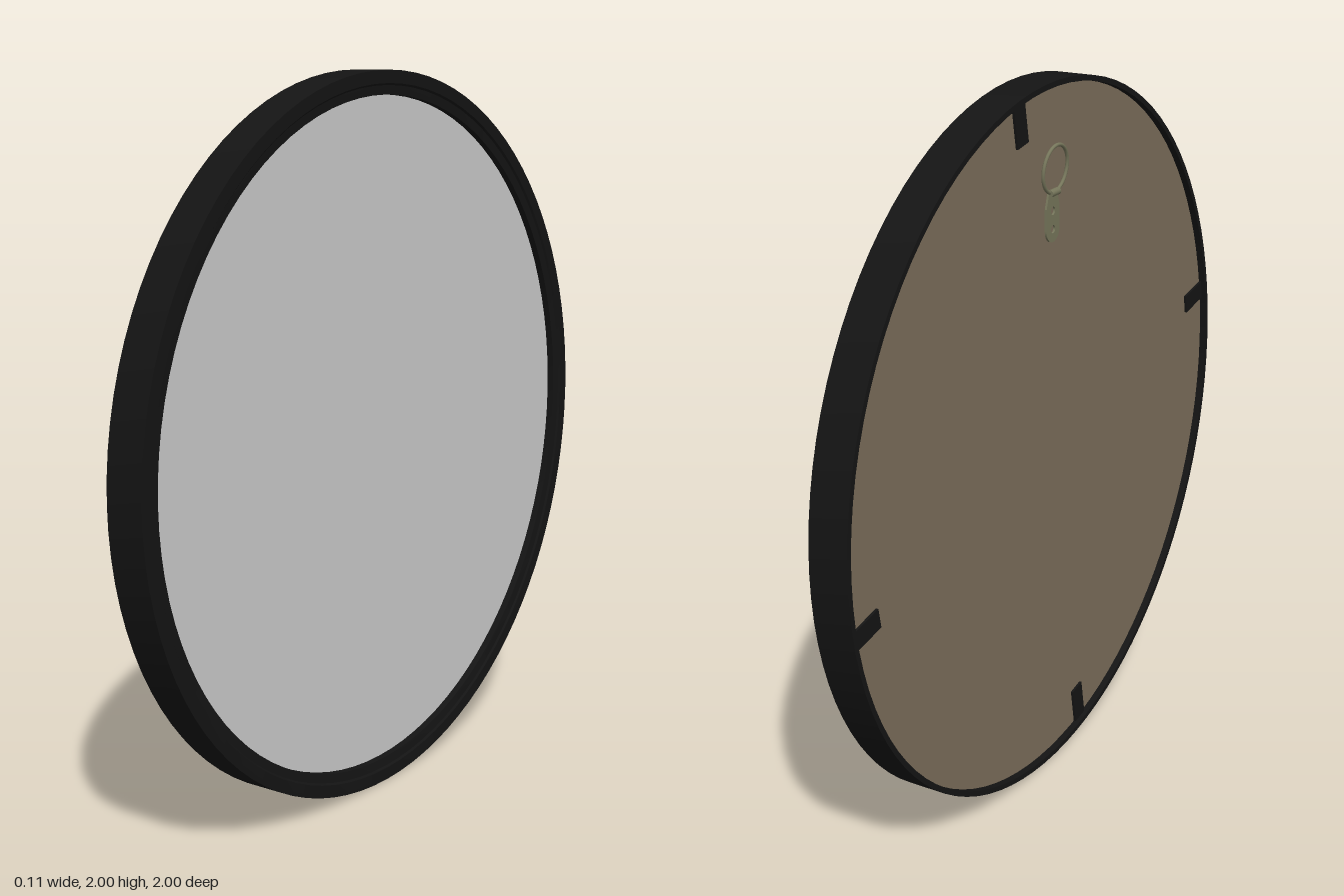
import * as THREE from 'three';
import { toCreasedNormals } from 'three/addons/utils/BufferGeometryUtils.js';

const SEGMENTS = 96;
const black = new THREE.MeshStandardMaterial({ color: 0x141414 });
const glass = new THREE.MeshStandardMaterial({ color: 0xcccccc });
const board = new THREE.MeshStandardMaterial({ color: 0x7d6f5b });
const metal = new THREE.MeshStandardMaterial({ color: 0x77775c });

function part(name, geometry, material) {
  const mesh = new THREE.Mesh(geometry, material);
  mesh.name = name;
  return mesh;
}

// Flat round panel lying across the x axis
function disc(name, radius, x0, x1, material) {
  const geometry = new THREE.CylinderGeometry(radius, radius, x1 - x0, SEGMENTS);
  geometry.rotateZ(-Math.PI / 2).translate((x0 + x1) / 2, 0, 0);
  return part(name, geometry, material);
}

// Ring frame turned from one closed section: radius, depth
function frame() {
  const section = [
    [0.985, -0.055], [1, -0.055], [1, 0.055], [0.965, 0.055],
    [0.96, 0.05], [0.935, 0.047], [0.935, 0.02], [0.985, 0.02], [0.985, -0.055],
  ].map(([r, d]) => new THREE.Vector2(r, d));
  const geometry = toCreasedNormals(new THREE.LatheGeometry(section, SEGMENTS), 0.4);
  geometry.rotateZ(-Math.PI / 2);
  return part('frame', geometry, black);
}

// Strap hanger with two screw holes and a loose ring
function hanger() {
  const group = new THREE.Group();
  group.name = 'hanger';

  const w = 0.035, top = 0.705, bottom = 0.605;
  const outline = new THREE.Shape();
  outline.moveTo(0.022, top);
  outline.lineTo(-0.022, top);
  outline.lineTo(-w, top - 0.04);
  outline.lineTo(-w, bottom);
  outline.absarc(0, bottom, w, Math.PI, Math.PI * 2, false);
  outline.lineTo(w, top - 0.04);
  outline.closePath();
  for (const y of [0.605, 0.655]) {
    const hole = new THREE.Path();
    hole.absarc(0, y, 0.011, 0, Math.PI * 2, true);
    outline.holes.push(hole);
  }
  const plate = part('hangerPlate', new THREE.ExtrudeGeometry(outline, {
    depth: 0.006, bevelEnabled: false, curveSegments: 16,
  }), metal);
  plate.position.z = 0.035;

  const curl = part('hangerCurl', new THREE.CylinderGeometry(0.01, 0.01, 0.044, 16), metal);
  curl.rotation.z = Math.PI / 2;
  curl.position.set(0, top, 0.043);

  const ring = part('hangerRing', new THREE.TorusGeometry(0.064, 0.005, 10, 40), metal);
  ring.position.set(0, 0.768, 0.047);
  ring.rotation.x = 0.08;

  group.add(plate, curl, ring);
  return group;
}

export function createModel() {
  const model = new THREE.Group();
  model.name = 'roundMirror';

  const body = new THREE.Group();
  body.name = 'mirrorBody';
  body.position.y = 1;
  body.add(
    frame(),
    disc('mirrorGlass', 0.98, 0.018, 0.027, glass),
    disc('backBoard', 0.986, -0.035, 0.018, board),
  );

  // Fittings on the back: local x runs along z, local z points backwards
  const back = new THREE.Group();
  back.name = 'backFittings';
  back.rotation.y = -Math.PI / 2;
  for (let i = 0; i < 4; i++) {
    const clip = part('retainingClip',
      new THREE.BoxGeometry(0.055, 0.115, 0.008).translate(0, 0.93, 0.038), black);
    clip.rotation.z = i * Math.PI / 2 + 0.18;
    back.add(clip);
  }
  back.add(hanger());

  body.add(back);
  model.add(body);
  return model;
}
